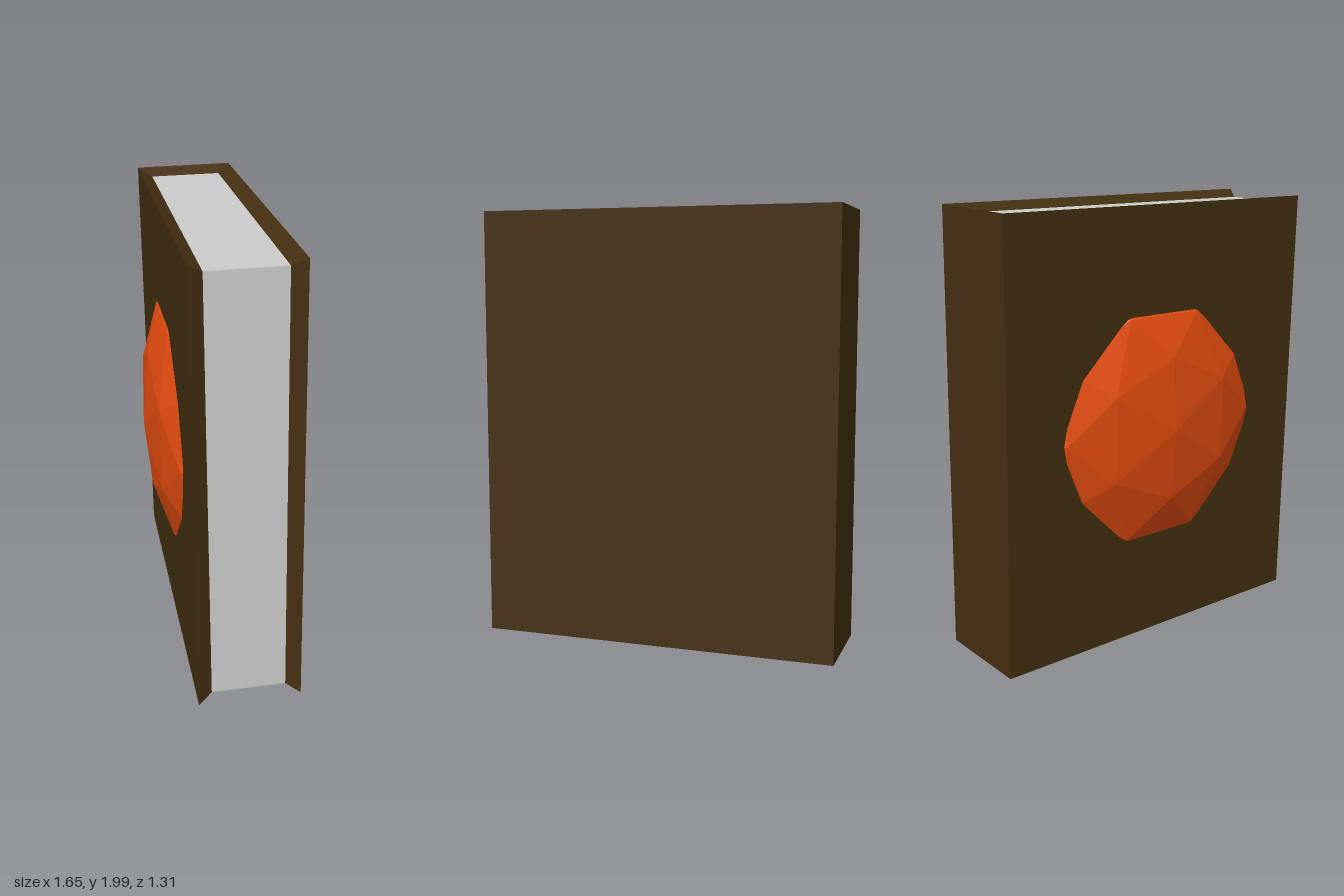
import * as THREE from 'three';

const W = 1.655, H = 1.976, D = 0.452; // closed book
const RECESS = 0.034, BOARD = 0.062;   // page setback, cover thickness

// Corner of the outer cover or of the page block, picked by signs
const outer = (x, y, z) => new THREE.Vector3(x * W / 2, y * H / 2, z * D / 2);
const inner = (x, y, z) => new THREE.Vector3(
  x < 0 ? -W / 2 + BOARD : W / 2 - RECESS,
  y * (H / 2 - RECESS),
  z * (D / 2 - BOARD));

// Flat quads, each turned to face away from the centre
function quads(list) {
  const pos = [];
  for (const q of list) {
    const [a, b, c, d] = q;
    const n = b.clone().sub(a).cross(c.clone().sub(a));
    const mid = a.clone().add(b).add(c).add(d);
    const [p, r] = n.dot(mid) > 0 ? [b, d] : [d, b];
    for (const v of [a, p, c, a, c, r]) pos.push(v.x, v.y, v.z);
  }
  const g = new THREE.BufferGeometry();
  g.setAttribute('position', new THREE.Float32BufferAttribute(pos, 3));
  g.computeVertexNormals();
  return g;
}

function part(name, geometry, color) {
  const material = new THREE.MeshStandardMaterial({ color, flatShading: true });
  const mesh = new THREE.Mesh(geometry, material);
  mesh.name = name;
  return mesh;
}

export function createModel() {
  const book = new THREE.Group();
  book.name = 'book';
  const brown = 0x443012;

  // Front and back boards with bevelled rims sloping in to the pages
  for (const z of [1, -1]) {
    const corners = [[-1, 1], [1, 1], [1, -1], [-1, -1]];
    const faces = [corners.map(([x, y]) => outer(x, y, z))];
    for (let i = 0; i < 3; i++) {
      const [p, q] = [corners[i], corners[i + 1]];
      faces.push([outer(...p, z), outer(...q, z), inner(...q, z), inner(...p, z)]);
    }
    book.add(part(z > 0 ? 'frontCover' : 'backCover', quads(faces), brown));
  }

  // Spine with its top and bottom rims
  const spine = [[outer(-1, 1, -1), outer(-1, 1, 1), outer(-1, -1, 1), outer(-1, -1, -1)]];
  for (const y of [1, -1]) {
    spine.push([outer(-1, y, 1), outer(-1, y, -1), inner(-1, y, -1), inner(-1, y, 1)]);
  }
  book.add(part('spine', quads(spine), brown));

  // Page block: top, bottom and fore edge
  const pages = [[inner(1, 1, 1), inner(1, 1, -1), inner(1, -1, -1), inner(1, -1, 1)]];
  for (const y of [1, -1]) {
    pages.push([inner(-1, y, 1), inner(1, y, 1), inner(1, y, -1), inner(-1, y, -1)]);
  }
  book.add(part('pages', quads(pages), 0xcccccc));

  // Flattened faceted gem set into the front cover
  const gem = part('gem', new THREE.IcosahedronGeometry(0.625, 1).scale(1, 1, 0.32), 0xe84d10);
  gem.position.z = 0.132;
  book.add(gem);

  // Turned and leaning very slightly
  book.rotation.set(0.0175, -0.568, 0.005, 'XZY');
  book.position.y = 1;
  const model = new THREE.Group();
  model.name = 'model';
  model.add(book);
  return model;
}
